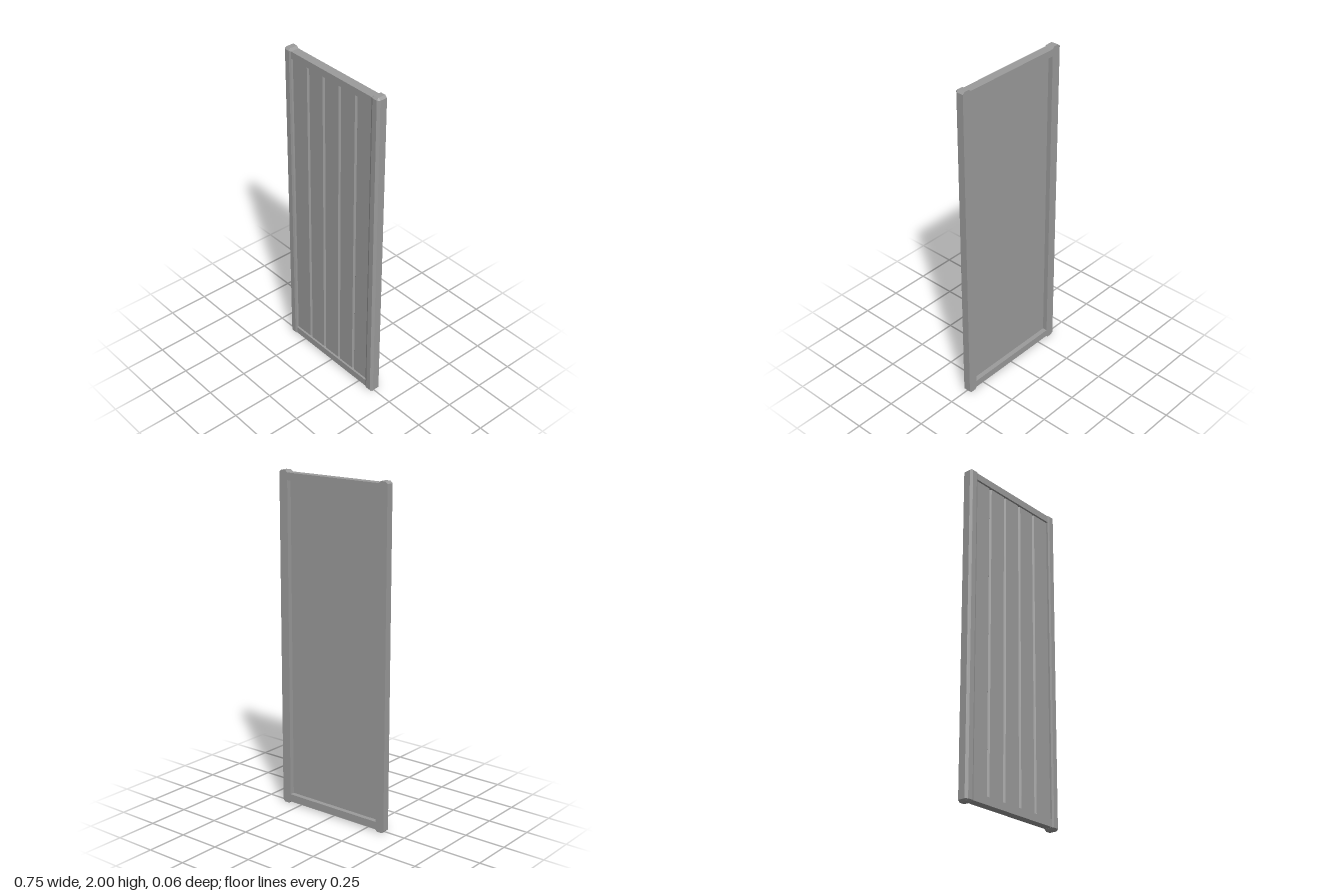
import * as THREE from 'three';

const material = new THREE.MeshStandardMaterial({ color: 0x9c9c9c, flatShading: true });

function addMesh(group, name, geometry) {
  const mesh = new THREE.Mesh(geometry, material);
  mesh.name = name;
  group.add(mesh);
  return mesh;
}

// Stack of equal-sized rings [x, z] at heights y, closed at both ends
function loft(sections) {
  const n = sections[0].ring.length;
  const positions = [], index = [];
  for (const { y, ring } of sections) for (const [x, z] of ring) positions.push(x, y, z);
  for (let s = 0; s < sections.length - 1; s++) {
    for (let i = 0; i < n; i++) {
      const a = s * n + i, b = s * n + (i + 1) % n;
      index.push(a, a + n, b, b, a + n, b + n);
    }
  }
  const top = (sections.length - 1) * n;
  for (let i = 1; i < n - 1; i++) {
    index.push(0, i, i + 1);
    index.push(top, top + i + 1, top + i);
  }
  const geometry = new THREE.BufferGeometry();
  geometry.setAttribute('position', new THREE.Float32BufferAttribute(positions, 3));
  geometry.setIndex(index);
  const flat = geometry.toNonIndexed();
  flat.computeVertexNormals();
  return flat;
}

// Mirrored rings are reversed so that their faces stay outward
function mirrorRing(ring) {
  return ring.map(([x, z]) => [-x, z]).reverse();
}

export function createModel() {
  const door = new THREE.Group();
  door.name = 'panelDoor';

  // Side stiles: chamfered front corners and bevelled ends
  const full = [[0.375, -0.029], [0.375, 0.016], [0.362, 0.029], [0.33, 0.029], [0.318, 0.024], [0.318, -0.029]];
  const end = [[0.362, -0.029], [0.362, 0.016], [0.361, 0.017], [0.331, 0.017], [0.33, 0.016], [0.33, -0.029]];
  const addStile = (name, fullRing, endRing) => addMesh(door, name, loft([
    { y: 0, ring: endRing }, { y: 0.012, ring: fullRing },
    { y: 1.988, ring: fullRing }, { y: 2, ring: endRing },
  ]));
  addStile('leftStile', full, end);
  addStile('rightStile', mirrorRing(full), mirrorRing(end));

  // Top and bottom rails
  for (const [name, low, high] of [['bottomRail', 0.013, 0.058], ['topRail', 1.945, 1.988]]) {
    const rail = addMesh(door, name, new THREE.BoxGeometry(0.636, high - low, 0.053));
    rail.position.set(0, (low + high) / 2, -0.0025);
  }

  // Recessed panel with four V grooves on the front, plain at the back
  const profile = new THREE.Shape();
  const front = 0.012, groove = 0.01;
  profile.moveTo(-0.32, 0);
  profile.lineTo(-0.32, -front);
  for (const x of [-0.192, -0.064, 0.064, 0.192]) {
    profile.lineTo(x - groove, -front);
    profile.lineTo(x, -front + 0.009);
    profile.lineTo(x + groove, -front);
  }
  profile.lineTo(0.32, -front);
  profile.lineTo(0.32, 0);
  const panel = new THREE.ExtrudeGeometry(profile, { depth: 1.89, bevelEnabled: false });
  panel.rotateX(-Math.PI / 2);
  panel.translate(0, 0.056, 0);
  addMesh(door, 'groovedPanel', panel);

  return door;
}
